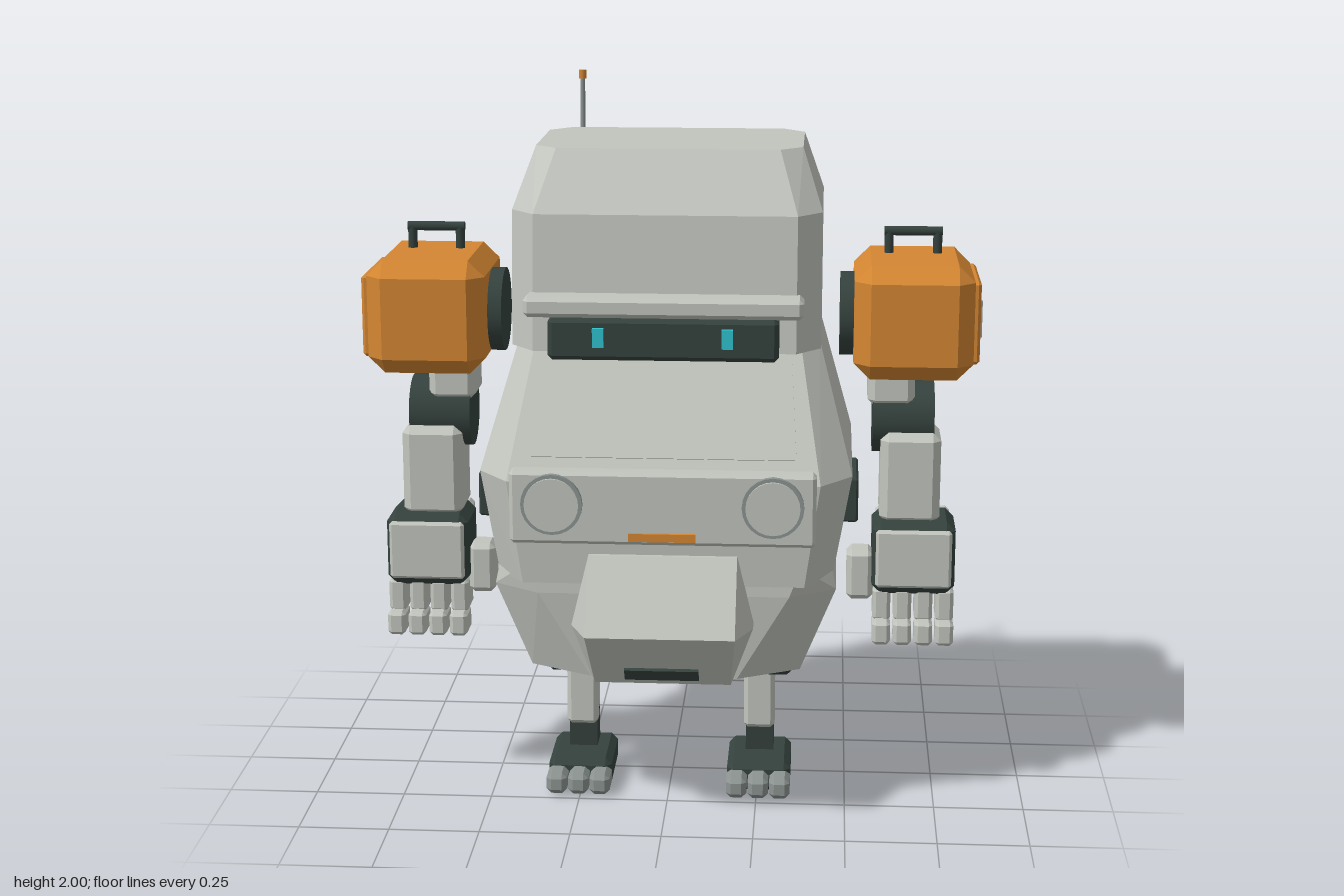
import * as THREE from 'three';
import { ConvexGeometry } from 'three/addons/geometries/ConvexGeometry.js';

const material = (name, color) => {
  const m = new THREE.MeshStandardMaterial({ color });
  m.name = name;
  return m;
};

// Convex solid with flat faces from [x, y, z] corners
const hull = (pts) => new ConvexGeometry(pts.map((p) => new THREE.Vector3(...p)));

// Eight-sided cross-section: half width x, front/back face half widths,
// front/back depth and the depths where the side faces end
const ring = (y, x, xf, zf, zfs, xb, zb, zbs) =>
  [-1, 1].flatMap((s) => [[s * xf, y, zf], [s * x, y, zfs], [s * x, y, zbs], [s * xb, y, zb]]);

// Box with all edges bevelled by b
function bevelBox(w, h, d, b) {
  if (!b) return new THREE.BoxGeometry(w, h, d);
  const pts = [];
  for (const i of [-1, 1]) for (const j of [-1, 1]) for (const k of [-1, 1]) {
    const X = i * w / 2, Y = j * h / 2, Z = k * d / 2;
    pts.push([X, Y - j * b, Z - k * b], [X - i * b, Y, Z - k * b], [X - i * b, Y - j * b, Z]);
  }
  return hull(pts);
}

export function createModel() {
  const light = material('pale grey', 0xc2c5be);
  const dark = material('dark green grey', 0x35423e);
  const orange = material('orange', 0xd48632);
  const grey = material('mid grey', 0x8c9492);
  const cyan = material('cyan', 0x2fc2cf);
  const model = new THREE.Group();
  model.name = 'robot';

  const add = (parent, name, geo, mat, x = 0, y = 0, z = 0) => {
    const m = new THREE.Mesh(geo, mat);
    m.name = name;
    m.position.set(x, y, z);
    parent.add(m);
    return m;
  };
  // Box from its limits; s = -1 places it on the other side
  const box = (parent, name, mat, [x0, x1], [y0, y1], [z0, z1], b = 0, s = 1) =>
    add(parent, name, bevelBox(x1 - x0, y1 - y0, z1 - z0, b), mat,
      s * (x0 + x1) / 2, (y0 + y1) / 2, (z0 + z1) / 2);
  // Cylinder lying along x or z
  const disc = (parent, name, mat, r, len, axis, x, y, z, n = 24) => {
    const g = new THREE.CylinderGeometry(r, r, len, n);
    if (axis === 'x') g.rotateZ(Math.PI / 2);
    if (axis === 'z') g.rotateX(Math.PI / 2);
    return add(parent, name, g, mat, x, y, z);
  };

  // Hull of the robot: head, torso and pelvis
  add(model, 'head', hull([
    ...ring(1.84, 0.36, 0.3, 0.2, 0.14, 0.3, -0.26, -0.19),
    ...ring(1.68, 0.415, 0.35, 0.32, 0.24, 0.35, -0.29, -0.23),
    ...ring(1.32, 0.415, 0.35, 0.36, 0.28, 0.35, -0.3, -0.24)]), light);
  add(model, 'torso', hull([
    ...ring(1.32, 0.41, 0.36, 0.2, 0.14, 0.35, -0.3, -0.24),
    ...ring(0.975, 0.505, 0.42, 0.42, 0.31, 0.44, -0.345, -0.28),
    ...ring(0.69, 0.455, 0.38, 0.41, 0.31, 0.39, -0.32, -0.26)]), light);
  add(model, 'pelvis', hull([
    ...ring(0.74, 0.45, 0.37, 0.4, 0.31, 0.38, -0.29, -0.24),
    ...ring(0.66, 0.466, 0.34, 0.405, 0.32, 0.38, -0.29, -0.23),
    ...ring(0.42, 0.37, 0.2, 0.39, 0.3, 0.29, -0.27, -0.19)]), light);

  // Face
  box(model, 'visor', dark, [-0.305, 0.305], [1.307, 1.42], [0.3, 0.415], 0.012);
  box(model, 'brow', light, [-0.37, 0.37], [1.42, 1.475], [0.32, 0.415], 0.012);
  for (const s of [-1, 1]) {
    box(model, 'eye', cyan, [0.155, 0.185], [1.345, 1.396], [0.4, 0.43], 0, s);
  }

  // Sloping chest plate
  add(model, 'chestPlate', hull([-1, 1].flatMap((s) => [
    [s * 0.335, 1.315, 0.225], [s * 0.335, 1.3, 0.2],
    [s * 0.355, 1.04, 0.4], [s * 0.355, 1.03, 0.37]])), light);

  // Lamp panel
  box(model, 'lampPanel', light, [-0.41, 0.41], [0.81, 1.01], [0.36, 0.445], 0.01);
  for (const s of [-1, 1]) {
    disc(model, 'lampRim', grey, 0.083, 0.03, 'z', s * 0.295, 0.922, 0.442);
    disc(model, 'lampLens', light, 0.073, 0.03, 'z', s * 0.295, 0.922, 0.449);
  }
  box(model, 'panelSlot', orange, [-0.09, 0.09], [0.823, 0.845], [0.43, 0.454]);

  // Belly scoop
  add(model, 'bellyScoop', hull([-1, 1].flatMap((s) => [
    [s * 0.2, 0.775, 0.36], [s * 0.2, 0.775, 0.425],
    [s * 0.245, 0.585, 0.36], [s * 0.245, 0.585, 0.45], [s * 0.2, 0.585, 0.556],
    [s * 0.19, 0.415, 0.34], [s * 0.185, 0.415, 0.425]])), light);
  box(model, 'scoopSlot', dark, [-0.1, 0.1], [0.435, 0.479], [0.466, 0.475]).rotation.x = 0.65;

  // Backpack
  box(model, 'backpack', dark, [-0.27, 0.27], [0.75, 1.312], [-0.505, -0.29], 0.05);
  box(model, 'backpackPanel', light, [-0.21, 0.21], [0.8, 1.25], [-0.54, -0.49], 0.012);
  for (const s of [-1, 1]) {
    box(model, 'backpackLatch', dark, [0.115, 0.205], [0.865, 0.96], [-0.563, -0.53], 0.006, s);
  }

  // Antenna
  add(model, 'antenna', new THREE.CylinderGeometry(0.007, 0.008, 0.38, 10), grey, -0.275, 1.79, -0.28);
  add(model, 'antennaTip', new THREE.CylinderGeometry(0.011, 0.011, 0.024, 10), orange, -0.275, 1.988, -0.28);

  for (const s of [-1, 1]) {
    const side = s > 0 ? 'left' : 'right';
    const arm = new THREE.Group();
    arm.name = side + 'Arm';
    const leg = new THREE.Group();
    leg.name = side + 'Leg';
    model.add(arm, leg);

    // Side vent
    box(model, 'sideVent', dark, [0.46, 0.523], [0.82, 0.945], [-0.01, 0.22], 0.006, s);

    // Shoulder with vents and carrying handle
    disc(arm, 'shoulderJoint', dark, 0.116, 0.1, 'x', s * 0.515, 1.365, 0.015);
    box(arm, 'shoulder', orange, [0.503, 0.828], [1.212, 1.527], [-0.187, 0.217], 0.045, s);
    box(arm, 'shoulderPlate', orange, [0.8, 0.845], [1.255, 1.482], [-0.132, 0.165], 0.008, s);
    for (const z of [-0.06, 0.02, 0.1]) {
      box(arm, 'shoulderSlot', grey, [0.83, 0.852], [1.32, 1.42], [z - 0.01, z + 0.01], 0, s);
    }
    disc(arm, 'handleBar', dark, 0.013, 0.16, 'x', s * 0.665, 1.588, -0.035, 10);
    for (const x of [0.598, 0.732]) {
      disc(arm, 'handlePost', dark, 0.013, 0.08, 'y', s * x, 1.55, -0.035, 10);
    }

    // Arm
    box(arm, 'upperArm', light, [0.545, 0.675], [1.118, 1.25], [-0.05, 0.11], 0.02, s);
    disc(arm, 'elbow', dark, 0.1, 0.17, 'x', s * 0.645, 1.075, 0.02);
    box(arm, 'forearm', light, [0.583, 0.75], [0.79, 1.05], [-0.04, 0.14], 0.022, s);

    // Hand
    box(arm, 'hand', dark, [0.565, 0.795], [0.597, 0.805], [-0.025, 0.175], 0.025, s);
    box(arm, 'handFrontPlate', light, [0.575, 0.785], [0.62, 0.785], [0.16, 0.182], 0.008, s);
    box(arm, 'handBackPlate', light, [0.575, 0.785], [0.62, 0.795], [-0.066, 0], 0.012, s);
    for (let i = 0; i < 4; i++) {
      const x = 0.569 + i * 0.0585;
      box(arm, 'fingerBase', light, [x, x + 0.05], [0.515, 0.61], [0.05, 0.155], 0.01, s);
      box(arm, 'fingerTip', light, [x, x + 0.05], [0.455, 0.523], [0.095, 0.19], 0.01, s);
    }
    box(arm, 'thumb', light, [0.495, 0.57], [0.567, 0.71], [0.04, 0.13], 0.015, s);

    // Hip
    box(leg, 'hip', dark, [0.15, 0.367], [0.345, 0.44], [-0.055, 0.175], 0.035, s);
    box(leg, 'hipBracket', dark, [0.31, 0.38], [0.4, 0.5], [-0.02, 0.14], 0.01, s);
    disc(leg, 'hipPivot', grey, 0.056, 0.08, 'x', s * 0.35, 0.455, 0.06);

    // Leg, slanting back towards the ankle
    add(leg, 'shin', hull([-1, 1].flatMap((i) => [
      [i * 0.04, 0.37, 0.065], [i * 0.04, 0.37, 0.005],
      [i * 0.04, 0.07, 0.055], [i * 0.04, 0.07, -0.03]])), dark, s * 0.255);
    box(leg, 'shinGuard', light, [0.21, 0.298], [0.165, 0.36], [0.038, 0.097], 0.012, s);

    // Foot
    box(leg, 'foot', dark, [0.165, 0.345], [0, 0.085], [-0.065, 0.17], 0.018, s);
    for (const x of [0.194, 0.255, 0.316]) {
      box(leg, 'toe', grey, [x - 0.029, x + 0.029], [0.005, 0.065], [0.14, 0.24], 0.014, s);
    }
  }
  return model;
}
